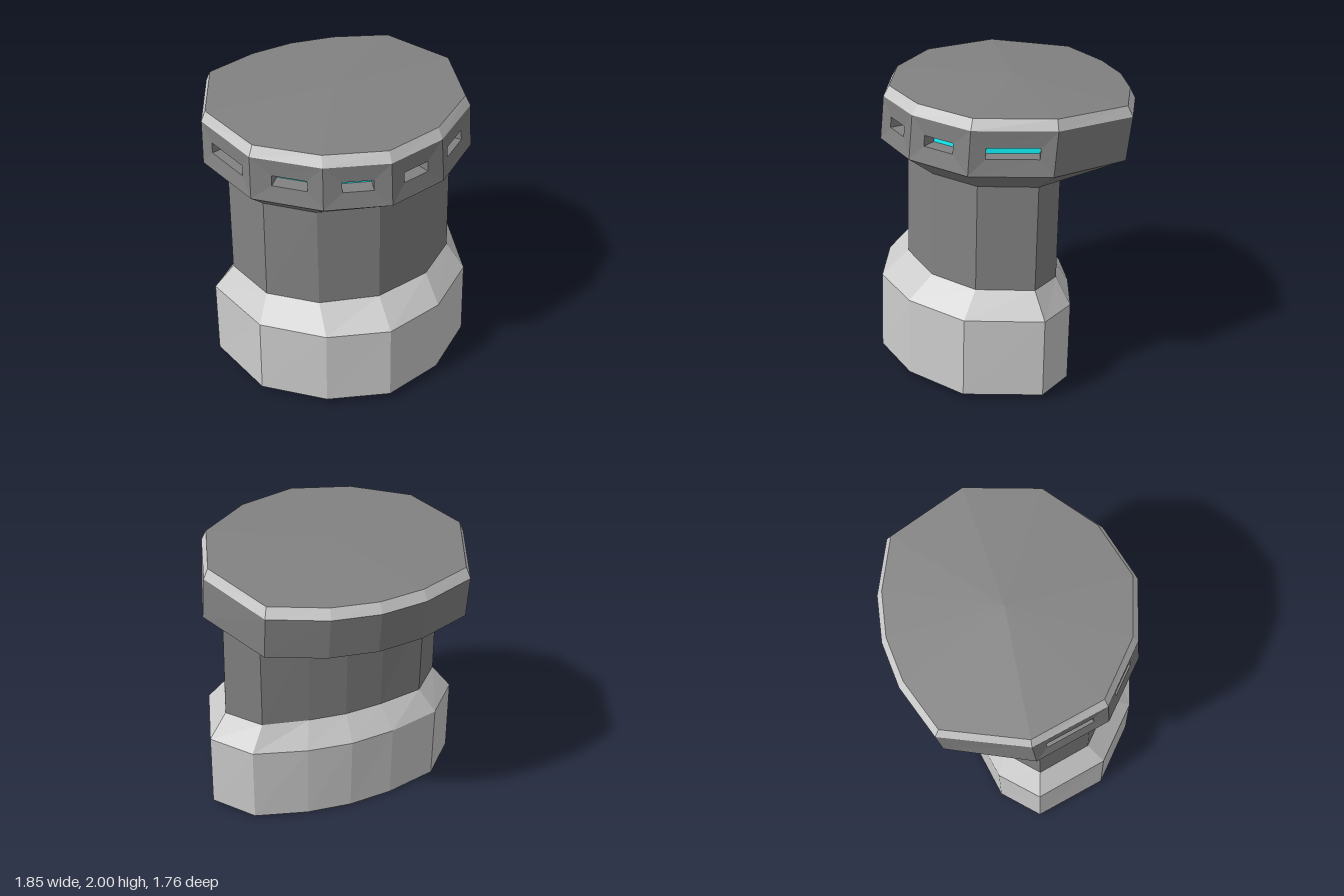
import * as THREE from 'three';

const LIGHT = 0xcccccc, DARK = 0x828282, GLOW = 0x10f0f8;

// Twelve-sided ring mirrored in x. Half outline runs from front centre to back centre;
// the level stays at y along the front, then slopes to yBack behind the widest corner.
function ring(y, yBack, half) {
  const zSide = half[3][1], zEnd = half[6][1];
  const pts = half.map(([x, z]) => new THREE.Vector3(
    x, z >= zSide ? y : y + (yBack - y) * (zSide - z) / (zSide - zEnd), z));
  const mirrored = pts.slice(1, 6).reverse().map(p => new THREE.Vector3(-p.x, p.y, p.z));
  return [...pts, ...mirrored];
}

// Collects flat-shaded faces, corners counter-clockwise from outside.
class Faces {
  constructor() { this.points = []; }
  tri(a, b, c) { this.points.push(a, b, c); }
  quad(a, b, c, d) { this.tri(a, b, c); this.tri(a, c, d); }
  band(low, high) {
    low.forEach((p, i) => {
      const j = (i + 1) % low.length;
      this.quad(p, low[j], high[j], high[i]);
    });
  }
  fan(loop, centre, up) {
    loop.forEach((p, i) => {
      const q = loop[(i + 1) % loop.length];
      if (up) this.tri(p, q, centre); else this.tri(q, p, centre);
    });
  }
  mesh(name, color) {
    const geometry = new THREE.BufferGeometry().setFromPoints(this.points);
    geometry.computeVertexNormals();
    const mesh = new THREE.Mesh(geometry, new THREE.MeshStandardMaterial({ color, flatShading: true }));
    mesh.name = name;
    return mesh;
  }
}

export function createModel() {
  const model = new THREE.Group();
  model.name = 'tower';

  // Rings from the ground up
  const foot = ring(0.045, 0, [[0, 0.88], [0.425, 0.755], [0.79, 0.455], [0.925, -0.06], [0.69, -0.3], [0.32, -0.385], [0, -0.41]]);
  const shoulder = ring(0.6, 0.565, [[0, 0.86], [0.42, 0.74], [0.78, 0.44], [0.92, -0.07], [0.69, -0.31], [0.32, -0.4], [0, -0.43]]);
  const neckLow = ring(0.77, 0.74, [[0, 0.67], [0.4, 0.575], [0.685, 0.34], [0.79, -0.035], [0.59, -0.235], [0.27, -0.29], [0, -0.31]]);
  const neckHigh = ring(1.5, 1.47, [[0, 0.65], [0.4, 0.555], [0.675, 0.32], [0.78, -0.055], [0.59, -0.25], [0.27, -0.31], [0, -0.33]]);
  const headLow = ring(1.62, 1.58, [[0, 0.83], [0.42, 0.71], [0.785, 0.405], [0.925, -0.11], [0.69, -0.66], [0.32, -0.8], [0, -0.84]]);
  const headHigh = ring(1.915, 1.875, [[0, 0.8], [0.41, 0.68], [0.775, 0.38], [0.91, -0.14], [0.69, -0.695], [0.32, -0.84], [0, -0.88]]);
  const rim = ring(1.985, 1.945, [[0, 0.76], [0.4, 0.64], [0.745, 0.36], [0.88, -0.14], [0.67, -0.665], [0.31, -0.805], [0, -0.845]]);

  // Heavy base with sloped shoulder
  const base = new Faces();
  base.fan(foot, new THREE.Vector3(0, 0.035, 0.2), false);
  base.band(foot, shoulder);
  base.band(shoulder, neckLow);
  model.add(base.mesh('base', LIGHT));

  // Column
  const column = new Faces();
  column.band(neckLow, neckHigh);
  model.add(column.mesh('column', DARK));

  // Head with a recessed window in each of the six front facets
  const head = new Faces(), panes = new Faces();
  head.band(neckHigh, headLow);
  const spans = [[0.26, 0.72], [0.22, 0.71], [0.19, 0.82]];
  const vLow = 0.375, vHigh = 0.615, depth = 0.1;
  for (let i = 0; i < 12; i++) {
    const j = (i + 1) % 12;
    const outer = [headLow[i], headLow[j], headHigh[j], headHigh[i]];
    if (i > 2 && i < 9) { head.quad(...outer); continue; }
    const [s, e] = i < 3 ? spans[i] : spans[11 - i].map(v => 1 - v).reverse();
    const inward = new THREE.Vector3(headLow[j].z - headLow[i].z, 0, headLow[i].x - headLow[j].x).normalize();
    const at = (u, v) => headLow[i].clone().lerp(headLow[j], u)
      .lerp(headHigh[i].clone().lerp(headHigh[j], u), v);
    const edge = [at(s, vLow), at(e, vLow), at(e, vHigh), at(s, vHigh)]
      .map(p => p.addScaledVector(inward, 0.012));
    const back = edge.map(p => p.clone().addScaledVector(inward, depth));
    for (let k = 0; k < 4; k++) {
      const n = (k + 1) % 4;
      head.quad(outer[k], outer[n], edge[n], edge[k]);
      head.quad(edge[k], edge[n], back[n], back[k]);
    }
    panes.quad(...back);
  }
  model.add(head.mesh('head', DARK), panes.mesh('windowPanes', GLOW));

  // Bevelled rim and roof
  const bevel = new Faces();
  bevel.band(headHigh, rim);
  const roof = new Faces();
  roof.fan(rim, new THREE.Vector3(0, 2, -0.08), true);
  model.add(bevel.mesh('roofRim', LIGHT), roof.mesh('roof', DARK));

  return model;
}
